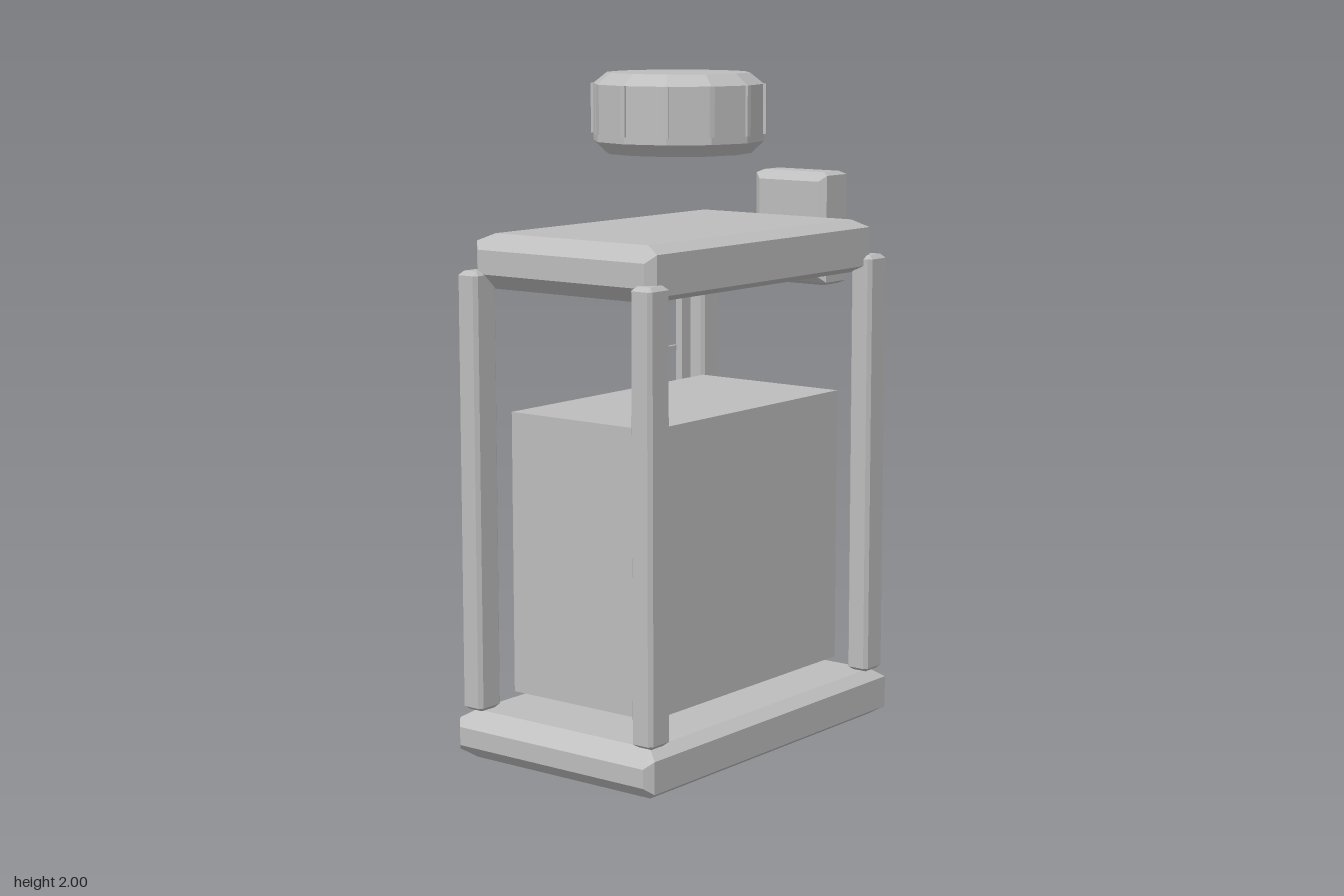
import * as THREE from 'three';
import { ConvexGeometry } from 'three/addons/geometries/ConvexGeometry.js';

const CENTER_X = -0.048;

const grey = new THREE.MeshStandardMaterial({ color: 0xbcbcbc, flatShading: true });
grey.name = 'plain grey';

function addMesh(parent, name, geometry, x = 0, y = 0, z = 0) {
  const mesh = new THREE.Mesh(geometry, grey);
  mesh.name = name;
  mesh.position.set(x, y, z);
  parent.add(mesh);
  return mesh;
}

// Box with chamfered edges. The cuts are given per edge pair:
// side = [x, y] of side/top edges, front = [y, z] of front/top edges, corner = [x, z] of upright edges.
function chamferBox(w, h, d, side, front, corner) {
  const [W, H, D] = [w / 2, h / 2, d / 2];
  const points = [];
  for (const sx of [-1, 1]) for (const sy of [-1, 1]) for (const sz of [-1, 1]) {
    points.push(
      new THREE.Vector3(sx * W, sy * (H - side[1]), sz * (D - corner[1])),
      new THREE.Vector3(sx * (W - side[0]), sy * H, sz * (D - front[1])),
      new THREE.Vector3(sx * (W - corner[0]), sy * (H - front[0]), sz * D)
    );
  }
  return new ConvexGeometry(points);
}

export function createModel() {
  const model = new THREE.Group();
  model.name = 'tank';

  // Base and lid
  addMesh(model, 'base',
    chamferBox(1.2, 0.145, 0.732, [0.055, 0.045], [0.025, 0.04], [0.025, 0.022]),
    CENTER_X, 0.0755, 0);
  addMesh(model, 'lid',
    chamferBox(1.08, 0.16, 0.66, [0.05, 0.045], [0.022, 0.05], [0.025, 0.025]),
    CENTER_X, 1.47, 0);

  // Four corner posts
  const postGeometry = chamferBox(0.094, 1.295, 0.074, [0.02, 0.012], [0.012, 0.014], [0.012, 0.01]);
  for (const sx of [-1, 1]) for (const sz of [-1, 1]) {
    addMesh(model, 'cornerPost', postGeometry, CENTER_X + sx * 0.531, 0.797, sz * 0.318);
  }

  // Contents block
  addMesh(model, 'contents', new THREE.BoxGeometry(0.91, 0.835, 0.515), -0.05, 0.6125, 0.002);

  // Level gauge at the back: strip and tick marks
  const gauge = new THREE.Group();
  gauge.name = 'levelGauge';
  model.add(gauge);
  addMesh(gauge, 'gaugeStrip', new THREE.BoxGeometry(0.08, 1.23, 0.024), 0.432, 0.785, -0.343);
  for (let i = 0; i < 4; i++) {
    addMesh(gauge, 'gaugeTick', new THREE.BoxGeometry(0.145, 0.016, 0.012), 0.378, 0.3 + i * 0.27, -0.358);
  }

  // Side latch
  addMesh(model, 'sideLatch',
    chamferBox(0.137, 0.35, 0.268, [0.03, 0.028], [0.01, 0.02], [0.015, 0.022]),
    0.572, 1.505, 0.002);

  // Floating twelve-sided cap with grip ribs
  const cap = new THREE.Group();
  cap.name = 'cap';
  cap.position.set(CENTER_X, 0, 0);
  model.add(cap);
  const profile = [[0, 1.767], [0.215, 1.767], [0.252, 1.802], [0.252, 1.967], [0.21, 2], [0, 2]]
    .map(([r, y]) => new THREE.Vector2(r, y));
  addMesh(cap, 'capBody', new THREE.LatheGeometry(profile, 12));
  const ribGeometry = new THREE.BoxGeometry(0.015, 0.145, 0.016);
  for (let i = 0; i < 12; i++) {
    const a = (i * Math.PI) / 6;
    const rib = addMesh(cap, 'capRib', ribGeometry, Math.sin(a) * 0.25, 1.895, Math.cos(a) * 0.25);
    rib.rotation.y = a;
  }

  return model;
}
